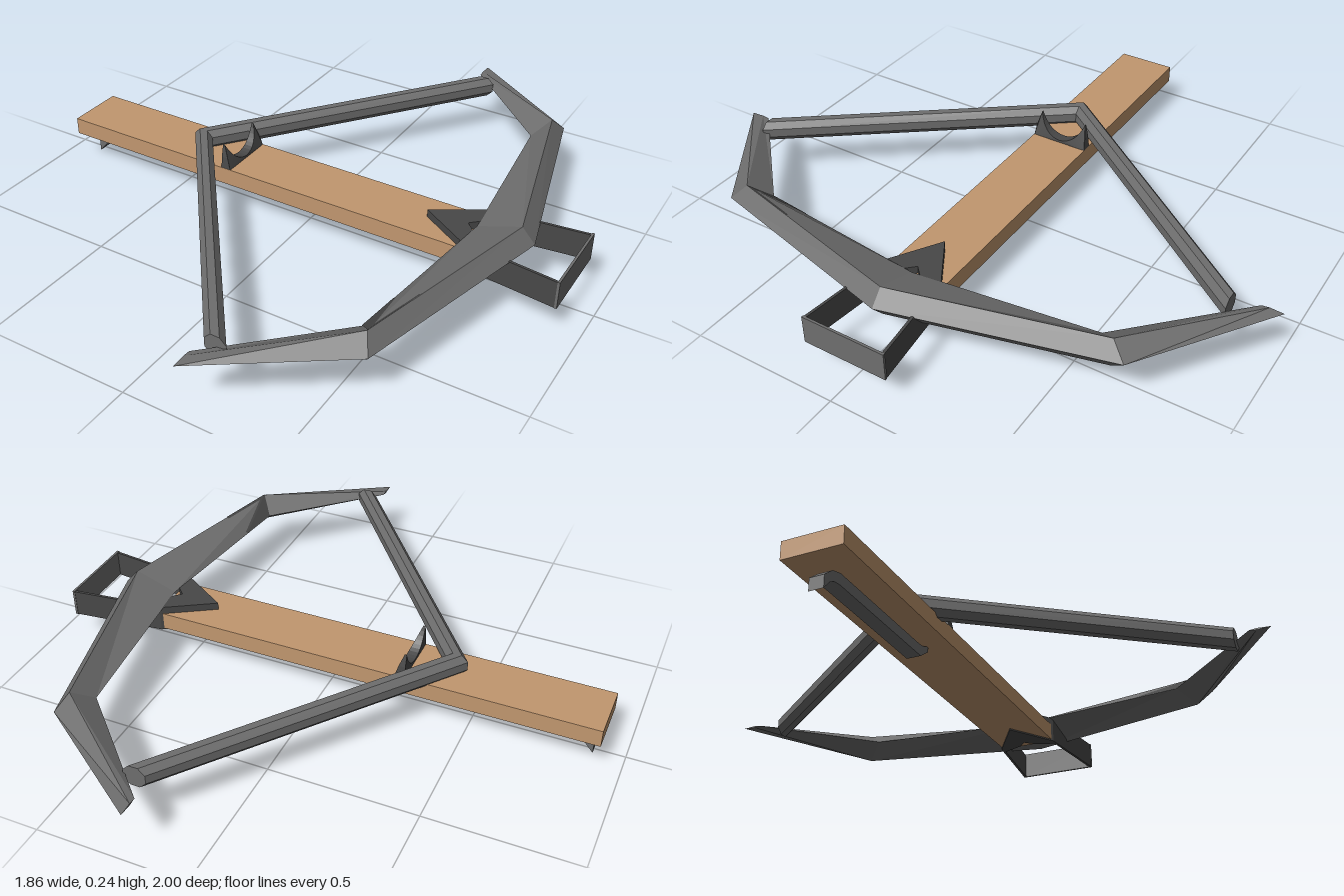
import * as THREE from 'three';

const mat = (name, color, side = THREE.FrontSide) => {
  const m = new THREE.MeshStandardMaterial({ color, side, flatShading: true });
  m.name = name;
  return m;
};

// Skin a list of equal rings (clockwise seen from +z, rings running towards +z).
function loft(rings, closed = true) {
  const pos = [];
  const tri = (...pts) => pts.forEach((p) => pos.push(...p));
  const n = rings[0].length;
  for (let i = 0; i < rings.length - 1; i++) {
    for (let j = 0; j < (closed ? n : n - 1); j++) {
      const k = (j + 1) % n;
      const a = rings[i][j], b = rings[i][k], c = rings[i + 1][k], d = rings[i + 1][j];
      tri(a, d, c);
      tri(a, c, b);
    }
  }
  if (closed) {
    const first = rings[0], last = rings[rings.length - 1];
    for (let j = 1; j < n - 1; j++) {
      tri(first[0], first[j], first[j + 1]);
      tri(last[0], last[j + 1], last[j]);
    }
  }
  const g = new THREE.BufferGeometry();
  g.setAttribute('position', new THREE.Float32BufferAttribute(pos, 3));
  g.computeVertexNormals();
  return g;
}

const shapeOf = (pts) => new THREE.Shape(pts.map(([x, y]) => new THREE.Vector2(x, y)));
const extrude = (shape, depth) =>
  new THREE.ExtrudeGeometry(shape, { depth, bevelEnabled: false, curveSegments: 8 });

// Plan outline in x and z, raised from y0 to y1.
const plan = (pts, y0, y1) =>
  extrude(shapeOf(pts.map(([x, z]) => [x, -z])), y1 - y0).rotateX(-Math.PI / 2).translate(0, y0, 0);

export function createModel() {
  const wood = mat('wood', 0xc1976f);
  const steel = mat('steel', 0x6e6e6e);
  const darkSteel = mat('dark steel', 0x484848, THREE.DoubleSide);

  const model = new THREE.Group();
  model.name = 'crossbow';
  const add = (name, geometry, material) => {
    const mesh = new THREE.Mesh(geometry, material);
    mesh.name = name;
    model.add(mesh);
    return mesh;
  };

  // Wooden stock
  add('stock', new THREE.BoxGeometry(1.54, 0.06, 0.2).translate(-0.16, 0.13, 0), wood);

  // Bow limbs: diamond sections at tip, bend and centre (inner, top, outer, bottom)
  const section = (inner, ridge, outer, top, bottom) => [
    [inner[0], 0.185, inner[1]], [ridge[0], top, ridge[1]],
    [outer[0], 0.185, outer[1]], [ridge[0], bottom, ridge[1]],
  ];
  const mirror = (ring) => ring.map(([x, y, z]) => [x, y, -z]);
  const tip = section([0.19, 0.93], [0.19, 0.955], [0.19, 1.0], 0.188, 0.182);
  const bend = section([0.53, 0.6], [0.58, 0.66], [0.61, 0.71], 0.235, 0.132);
  const centre = section([0.6, 0], [0.745, 0], [0.79, 0], 0.235, 0.132);
  add('bowLimbs', loft([mirror(tip), mirror(bend), centre, bend, tip]), steel);

  // Dark patch on the upper inner face next to the left bend
  const mix = (a, b, t) => a.map((v, i) => v + (b[i] - v) * t);
  const raise = ([x, y, z]) => [x, y + 0.002, z];
  const patch = [[mix(centre[0], bend[0], 0.75), mix(centre[1], bend[1], 0.68)], [bend[0], bend[1]]];
  add('limbPatch', loft(patch.map((r) => r.map(raise)), false), darkSteel);

  // Drawn string: eight-sided sections swept from end to end
  const stringRing = (x, z) => Array.from({ length: 8 }, (_, i) => {
    const a = -(i + 0.5) * Math.PI / 4;
    return [x + 0.04 * Math.cos(a), 0.185 + 0.039 * Math.sin(a), z];
  });
  add('bowString', loft([stringRing(0.238, -0.855), stringRing(-0.428, 0.01), stringRing(0.238, 0.878)]), steel);

  // Pointed bracket that holds the bow on the stock
  add('bowBracket', plan([
    [0.43, 0], [0.6, 0.105], [0.63, 0.105], [0.6, 0.03],
    [0.57, 0], [0.6, -0.03], [0.63, -0.105], [0.6, -0.105],
  ], 0.095, 0.186), darkSteel);

  // Foot stirrup: two splayed straps and a front plate
  for (const s of [1, -1]) {
    add(s > 0 ? 'stirrupFrontStrap' : 'stirrupBackStrap', plan([
      [0.6, 0.105 * s], [0.922, 0.143 * s], [0.922, 0.134 * s], [0.6, 0.096 * s],
    ], 0.095, 0.188), darkSteel);
  }
  add('stirrupPlate', new THREE.BoxGeometry(0.008, 0.095, 0.288).translate(0.921, 0.1425, 0), steel);

  // String catch: a crescent across the stock with two horns, thinning upwards
  const crescent = new THREE.Shape();
  crescent.moveTo(-0.1, 0.155);
  crescent.lineTo(0.1, 0.155);
  crescent.lineTo(0.095, 0.2);
  crescent.lineTo(0.085, 0.243);
  crescent.quadraticCurveTo(0.06, 0.17, 0, 0.168);
  crescent.quadraticCurveTo(-0.06, 0.17, -0.085, 0.243);
  crescent.lineTo(-0.095, 0.2);
  const catchGeo = extrude(crescent, 0.036).rotateY(Math.PI / 2).translate(-0.292, 0, 0);
  const p = catchGeo.attributes.position;
  for (let i = 0; i < p.count; i++) {
    const k = 1 - 0.8 * Math.max(0, (p.getY(i) - 0.165) / 0.078);
    p.setX(i, -0.292 + (p.getX(i) + 0.292) * k);
  }
  catchGeo.computeVertexNormals();
  add('stringCatch', catchGeo, darkSteel);

  // Long trigger lever under the stock
  const lever = shapeOf([
    [-0.9, 0], [-0.872, 0.032], [-0.85, 0.045], [-0.82, 0.05], [-0.335, 0.05], [-0.285, 0.085],
    [-0.285, 0.105], [-0.32, 0.09], [-0.345, 0.087], [-0.82, 0.087], [-0.86, 0.075], [-0.9, 0.042],
  ]);
  add('triggerLever', extrude(lever, 0.048).translate(0, 0, -0.022), steel);

  return model;
}
